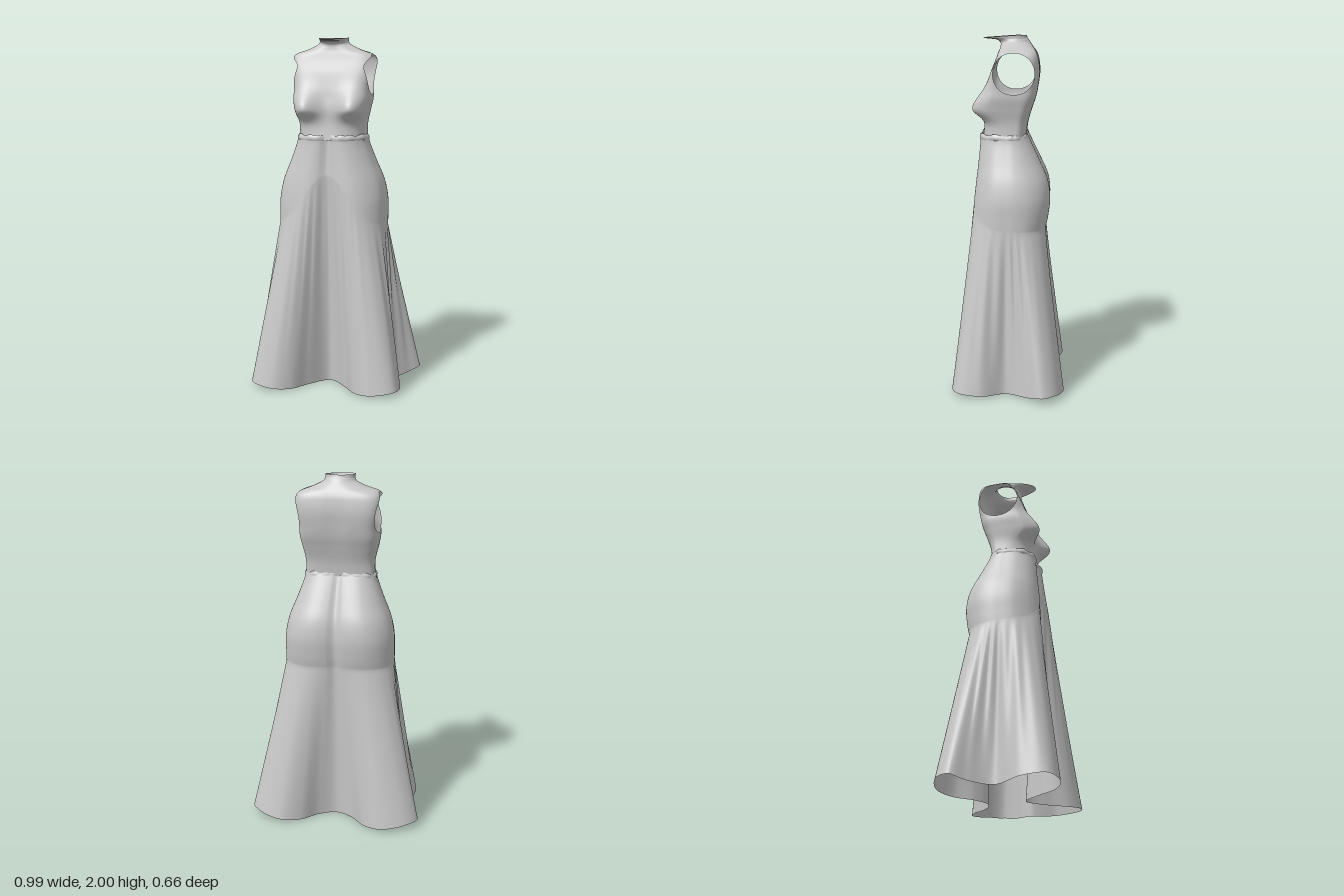
import * as THREE from 'three';
import { mergeVertices } from 'three/addons/utils/BufferGeometryUtils.js';

const fabric = new THREE.MeshStandardMaterial({ color: 0xc8c8c8, side: THREE.DoubleSide });
fabric.name = 'grey fabric';

// Closed rings stacked upward; point(i, j) gives [x, y, z]
function loft(rows, cols, point) {
  const pos = [], index = [];
  for (let i = 0; i <= rows; i++)
    for (let j = 0; j < cols; j++) pos.push(...point(i / rows, j / cols));
  for (let i = 0; i < rows; i++)
    for (let j = 0; j < cols; j++) {
      const a = i * cols + j, b = i * cols + (j + 1) % cols;
      index.push(a, b, a + cols, b, b + cols, a + cols);
    }
  const geo = new THREE.BufferGeometry();
  geo.setAttribute('position', new THREE.Float32BufferAttribute(pos, 3));
  geo.setIndex(index);
  geo.computeVertexNormals();
  return geo;
}

// Smooth interpolation through a short table of rows, t in 0..1
function table(rows) {
  const spline = new THREE.CubicInterpolant(rows.map((_, i) => i), rows.flat(), rows[0].length);
  return t => Array.from(spline.evaluate(t * (rows.length - 1)));
}

// Closed curve from one half (front centre to back centre), mirrored in x
function outline(half) {
  const pts = [...half, ...half.slice(1, -1).reverse().map(([x, z]) => [-x, z])];
  return new THREE.CatmullRomCurve3(pts.map(([x, z]) => new THREE.Vector3(x, 0, z)), true);
}

// Keep only the part of the surface where f(point) > 0, with a clean cut edge
function cut(geo, f) {
  const p = geo.toNonIndexed().attributes.position, out = [];
  for (let i = 0; i < p.count; i += 3) {
    const tri = [0, 1, 2].map(k => new THREE.Vector3().fromBufferAttribute(p, i + k));
    const poly = [];
    tri.forEach((a, k) => {
      const b = tri[(k + 1) % 3], fa = f(a), fb = f(b);
      if (fa > 0) poly.push(a);
      if ((fa > 0) !== (fb > 0)) poly.push(a.clone().lerp(b, fa / (fa - fb)));
    });
    for (let k = 1; k + 1 < poly.length; k++)
      for (const v of [poly[0], poly[k], poly[k + 1]]) out.push(v.x, v.y, v.z);
  }
  const res = new THREE.BufferGeometry();
  res.setAttribute('position', new THREE.Float32BufferAttribute(out, 3));
  const merged = mergeVertices(res, 1e-5);
  merged.computeVertexNormals();
  return merged;
}

const gauss = (d, s) => Math.exp(-(d * d) / (s * s));
const pow = (v, p) => Math.sign(v) * Math.abs(v) ** p;

// Bodice rows: height, half width, front z, back z, squareness (1 = round)
const bodiceRow = table([
  [1.43, 0.195, 0.145, -0.1, 0.75],
  [1.52, 0.194, 0.135, -0.112, 0.68],
  [1.6, 0.208, 0.13, -0.135, 0.55],
  [1.66, 0.219, 0.122, -0.155, 0.48],
  [1.72, 0.22, 0.114, -0.168, 0.44],
  [1.8, 0.233, 0.095, -0.177, 0.4],
  [1.87, 0.238, 0.068, -0.17, 0.4],
  [1.908, 0.218, 0.055, -0.157, 0.48],
  [1.935, 0.148, 0.047, -0.14, 0.75],
  [1.96, 0.098, 0.047, -0.123, 1],
  [1.976, 0.083, 0.07, -0.112, 1],
  [1.985, 0.08, 0.11, -0.105, 1],
  [2.0, 0.08, 0.145, -0.1, 1],
]);

function bodicePoint(t, u) {
  let [y, w, front, back, e] = bodiceRow(t);
  const a = u * Math.PI * 2, c = Math.cos(a);
  const x = w * pow(Math.sin(a), e), mid = -0.04;
  let z = mid + (c > 0 ? front - mid : mid - back) * pow(c, e);
  if (c > 0) {
    // bust
    const dy = y - 1.6;
    z += 0.078 * gauss(Math.abs(x) - 0.142, 0.085) * gauss(dy, dy > 0 ? 0.1 : 0.055) * Math.min(1, c * 2.5);
    // collar tip sits a little lower than the nape
    y -= 0.012 * c * THREE.MathUtils.smoothstep(y, 1.975, 2);
  } else z += 0.008 * gauss(x, 0.05) * gauss(y - 1.75, 0.12);
  return [x, y, z];
}

// Rounded armhole seen from the side
const armhole = v => Math.abs(v.x) < 0.1 ? 1 :
  Math.abs((v.z + 0.035) / 0.114) ** 2.1 + Math.abs((v.y - 1.796) / 0.112) ** 2.1 - 1;

const hip = outline([[0, 0.165], [0.065, 0.186], [0.12, 0.19], [0.18, 0.178], [0.24, 0.145], [0.29, 0.085],
  [0.31, 0], [0.312, -0.06], [0.295, -0.13], [0.25, -0.192], [0.185, -0.23], [0.115, -0.24], [0.05, -0.23],
  [0, -0.21]]);
const hem = outline([[0, 0.07], [0.11, 0.17], [0.19, 0.275], [0.29, 0.32], [0.41, 0.28], [0.43, 0.15],
  [0.355, 0], [0.43, -0.12], [0.495, -0.2], [0.44, -0.282], [0.3, -0.328], [0.19, -0.28], [0.1, -0.185],
  [0, -0.14]]);

// Hip rows: height, width scale, front scale, back scale
const hipRow = table([
  [0.93, 1.01, 1.1, 0.9],
  [1.0, 1.01, 1.06, 0.96],
  [1.1, 1, 1, 1],
  [1.2, 0.93, 0.94, 0.94],
  [1.3, 0.8, 0.88, 0.76],
  [1.4, 0.68, 0.83, 0.56],
  [1.45, 0.645, 0.82, 0.46],
]);

function hipPoint(t, u) {
  const [y, sx, sf, sb] = hipRow(t), p = hip.getPoint(u);
  return [p.x * sx, y, p.z * (p.z > 0 ? sf : sb)];
}

function skirtPoint(t, u) {
  const split = 0.55, s = Math.min(u, 1 - u) * 2;
  // the flare starts at the hip line, and higher up at the front centre
  const start = 0.55 * gauss(s, 0.25);
  if (t > split) return hipPoint(start + (1 - start) * (t - split) / (1 - split), u);
  const v = 1 - t / split, [hx, hy, hz] = hipPoint(start, u), q = hem.getPoint(u);
  const qz = q.z > 0 ? q.z * (1 - 0.09 * q.x) : q.z;
  const lift = 0.04 * Math.min(1, (Math.hypot(q.x, qz) / 0.53) ** 5);
  // fine pleats at the front and sides; the back stays smooth
  const zone = gauss(s - 0.08, 0.1) + gauss(s - 0.46, 0.11);
  const k = 1 + 0.02 * zone * Math.sin(Math.PI * v ** 0.7) * Math.sin(s * 120);
  return [THREE.MathUtils.lerp(hx, q.x, v) * k, THREE.MathUtils.lerp(hy, lift, v),
    THREE.MathUtils.lerp(hz, qz, v) * k];
}

// Gathered frill covering the waist seam
function frillPoint(t, u) {
  const a = u * Math.PI * 2, [x, , z] = hipPoint(1, u);
  const wave = 0.6 * Math.sin(a * 17) + 0.4 * Math.sin(a * 11 + 1);
  const k = 1 + (0.035 + 0.012 * wave) * Math.sin(Math.PI * t) - 0.02 * t;
  return [x * k, 1.425 + 0.034 * t + 0.005 * wave * t, z * k];
}

export function createModel() {
  const model = new THREE.Group();
  model.name = 'dress';
  const add = (name, geo) => {
    const mesh = new THREE.Mesh(geo, fabric);
    mesh.name = name;
    model.add(mesh);
  };
  add('bodice', cut(loft(110, 240, bodicePoint), armhole));
  add('waistFrill', loft(8, 264, frillPoint));
  add('skirt', loft(80, 360, skirtPoint));
  return model;
}
